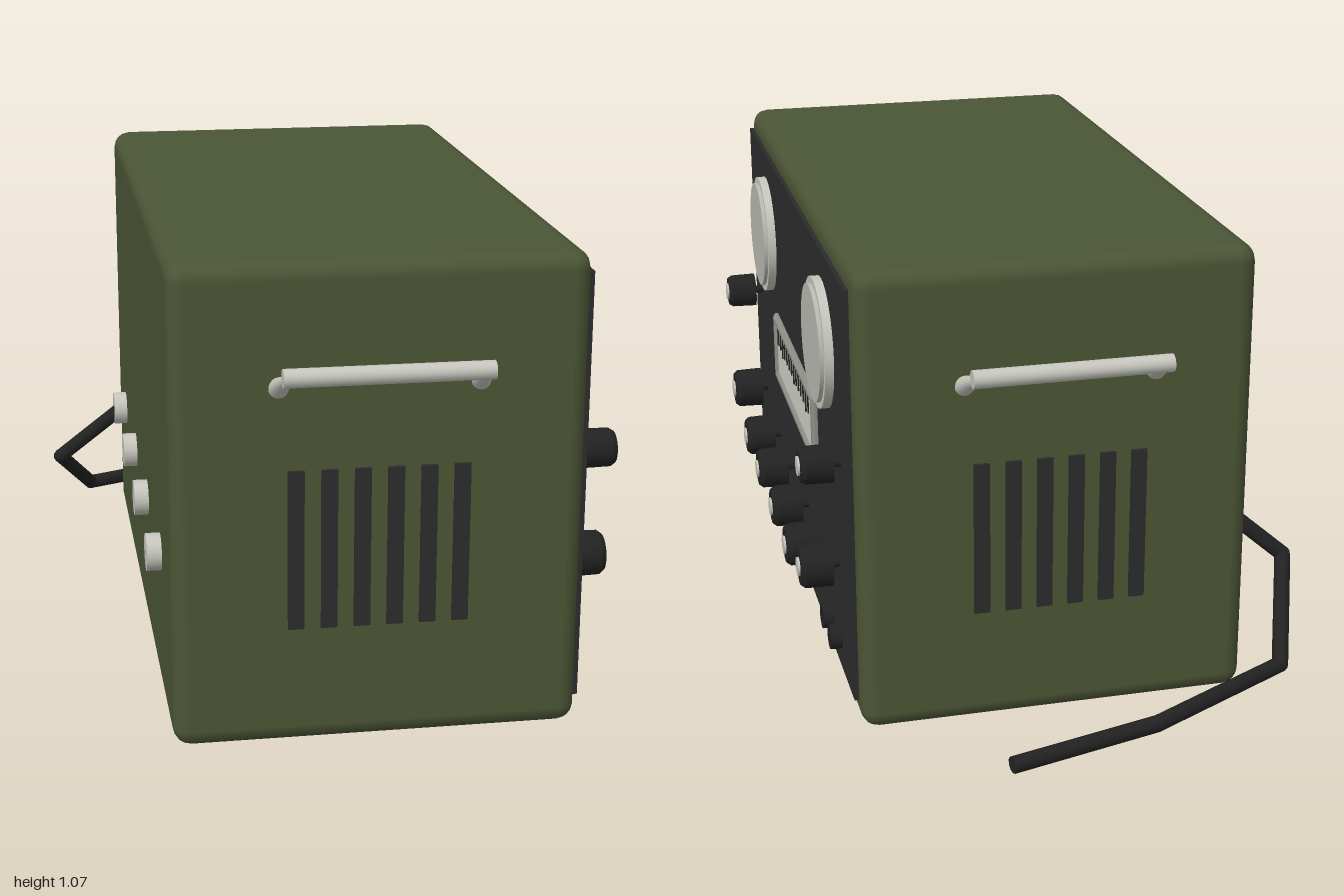
import * as THREE from 'three';
import { RoundedBoxGeometry } from 'three/addons/geometries/RoundedBoxGeometry.js';

const mat = (name, color) => {
  const m = new THREE.MeshStandardMaterial({ color });
  m.name = name;
  return m;
};

export function createModel() {
  const green = mat('olive paint', 0x4b5535);
  const panelGrey = mat('panel charcoal', 0x2c2c2c);
  const black = mat('black plastic', 0x222222);
  const silver = mat('silver metal', 0xc6c6be);
  const dialGrey = mat('dial face', 0xbabab2);
  const frameGrey = mat('frame metal', 0x8e8e87);
  const cream = mat('scale face', 0xd0d0c6);
  const brass = mat('brass plate', 0xb5964a);

  const root = new THREE.Group();
  root.name = 'radioSet';

  const add = (name, geo, material, parent = root) => {
    const m = new THREE.Mesh(geo, material);
    m.name = name;
    parent.add(m);
    return m;
  };
  // box given by its limits
  const box = (name, x0, x1, y0, y1, z0, z1, material, parent) => {
    const m = add(name, new THREE.BoxGeometry(x1 - x0, y1 - y0, z1 - z0), material, parent);
    m.position.set((x0 + x1) / 2, (y0 + y1) / 2, (z0 + z1) / 2);
    return m;
  };
  // round bar between two points
  const rod = (name, a, b, r0, r1, material, parent, sides = 16) => {
    const p = new THREE.Vector3(...a), q = new THREE.Vector3(...b);
    const d = q.clone().sub(p);
    const m = add(name, new THREE.CylinderGeometry(r1, r0, d.length(), sides), material, parent);
    m.position.copy(p).add(q).multiplyScalar(0.5);
    m.quaternion.setFromUnitVectors(new THREE.Vector3(0, 1, 0), d.normalize());
    return m;
  };
  const group = (name) => {
    const g = new THREE.Group();
    g.name = name;
    root.add(g);
    return g;
  };

  // case and control panel
  const body = add('case', new RoundedBoxGeometry(0.89, 1.07, 1.59, 2, 0.04), green);
  body.position.set(0.045, 0.535, 0.085);
  box('controlPanel', 0.47, 0.5, 0.055, 1.02, -0.655, 0.845, panelGrey);

  // large round dials
  for (const z of [0.54, -0.355]) {
    const g = group('dial');
    rod('dialRing', [0.49, 0.806, z], [0.52, 0.806, z], 0.15, 0.15, silver, g, 40);
    rod('dialFace', [0.515, 0.806, z], [0.529, 0.806, z], 0.135, 0.135, dialGrey, g, 40);
  }

  // tuning scale: sloped frame, face and tick marks
  const scale = group('tuningScale');
  const outline = new THREE.Shape([[-0.315, -0.081], [0.315, -0.081], [0.315, 0.081], [-0.315, 0.081]]
    .map((p) => new THREE.Vector2(...p)));
  outline.holes.push(new THREE.Path([[-0.3, -0.072], [-0.3, 0.072], [0.3, 0.072], [0.3, -0.072]]
    .map((p) => new THREE.Vector2(...p))));
  const frame = add('scaleFrame', new THREE.ExtrudeGeometry(outline, {
    depth: 0.007, bevelEnabled: true, bevelThickness: 0.007, bevelSize: 0.007, bevelSegments: 1,
  }), frameGrey, scale);
  frame.rotation.y = Math.PI / 2;
  frame.position.set(0.5, 0.539, 0.0875);
  box('scaleFace', 0.498, 0.507, 0.467, 0.611, -0.212, 0.387, cream, scale);
  for (let i = 0; i < 14; i++) {
    const z = 0.358 - i * 0.0385, major = i % 5 === 2;
    const w = major ? 0.005 : 0.0035;
    box('tick', 0.506, 0.51, major ? 0.545 : 0.555, 0.6, z - w, z + w, black, scale);
  }

  // capped knobs: z, y, radius
  const knobs = [
    [0.734, 0.592, 0.044], [-0.55, 0.592, 0.044],
    [0.683, 0.324, 0.052], [-0.496, 0.324, 0.052],
    [0.45, 0.273, 0.052], [0.217, 0.273, 0.052], [-0.032, 0.273, 0.052], [-0.263, 0.273, 0.052],
  ];
  for (const [z, y, r] of knobs) {
    const g = group('knob');
    rod('knobShaft', [0.49, y, z], [0.525, y, z], 0.01, 0.01, black, g, 10);
    rod('knobBody', [0.52, y, z], [0.582, y, z], r, r * 0.97, black, g, 24);
    rod('knobShoulder', [0.582, y, z], [0.592, y, z], r * 0.97, r * 0.82, black, g, 24);
    rod('knobCap', [0.585, y, z], [0.597, y, z], 0.022, 0.022, silver, g);
  }

  // small plain buttons
  for (const z of [-0.372, -0.48])
    rod('button', [0.49, 0.131, z], [0.526, 0.131, z], 0.032, 0.03, black, root, 20);

  // toggle switches
  for (const z of [0.305, 0.163, 0.021, -0.123]) {
    const g = group('toggleSwitch');
    rod('toggleNeck', [0.49, 0.127, z], [0.537, 0.127, z], 0.013, 0.011, silver, g, 12);
    rod('toggleLever', [0.532, 0.122, z], [0.55, 0.164, z], 0.006, 0.009, silver, g, 10);
  }

  box('namePlate', 0.497, 0.505, 0.094, 0.163, 0.5, 0.753, brass);

  // side handles and vents, mirrored about the middle of the case
  for (const s of [1, -1]) {
    const z = (d) => 0.085 + s * d;
    const handle = group('handle');
    rod('handleBar', [-0.177, 0.855, z(0.89)], [0.26, 0.855, z(0.89)], 0.02, 0.02, silver, handle);
    for (const [base, top] of [[-0.172, -0.165], [0.255, 0.248]])
      rod('handleBracket', [base, 0.805, z(0.79)], [top, 0.853, z(0.89)], 0.022, 0.009, silver, handle);
    const vents = group('vents');
    for (let i = 0; i < 6; i++) {
      const x = -0.136 + i * 0.071;
      const v = box('ventSlot', x - 0.0175, x + 0.0175, 0.27, 0.625, -0.006, 0.006, panelGrey, vents);
      v.position.z = z(0.797);
    }
  }

  // rear connectors
  for (const z of [-0.45, -0.095, 0.26, 0.614])
    rod('rearConnector', [-0.39, 0.357, z], [-0.433, 0.357, z], 0.042, 0.042, silver, root, 20);

  // trailing cable
  const cable = group('cable');
  const path = [[-0.42, 0.352, -0.447], [-0.58, 0.217, -0.482], [-0.49, 0.053, -0.72],
    [-0.135, 0.042, -0.895], [0.217, 0.038, -0.982]];
  path.forEach((p, i) => {
    if (i) rod('cableLength', path[i - 1], p, 0.019, 0.019, black, cable, 10);
    if (i && i < path.length - 1)
      add('cableBend', new THREE.SphereGeometry(0.019, 10, 8), black, cable).position.set(...p);
  });

  return root;
}
